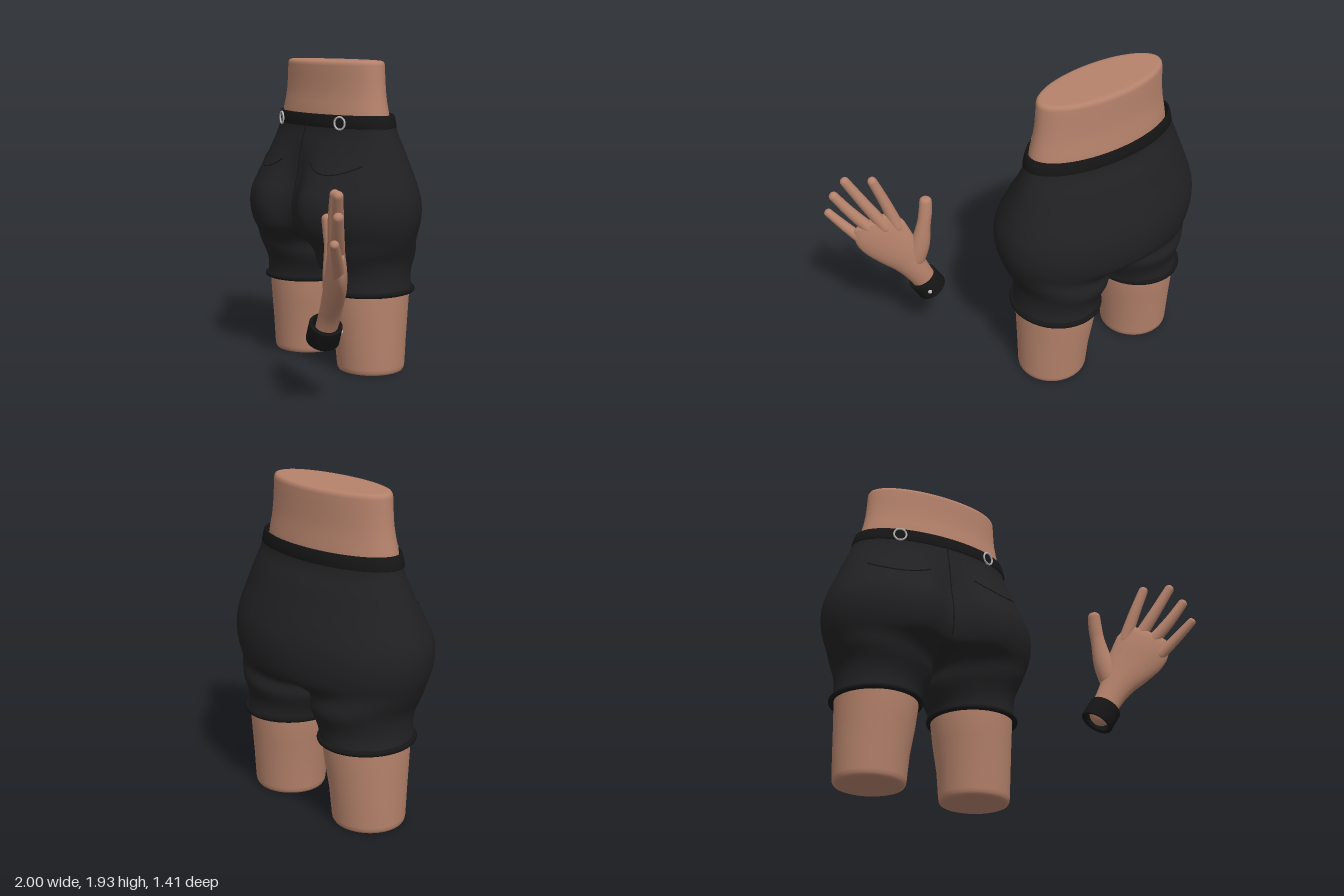
import * as THREE from 'three';
import { mergeVertices } from 'three/addons/utils/BufferGeometryUtils.js';

const CX = -0.31; // body centre line
const ZC = -0.3; // depth of the widest part of the hips
const V = (x, y, z) => new THREE.Vector3(x, y, z);
const mat = (color) => new THREE.MeshStandardMaterial({ color, side: THREE.DoubleSide });
const skin = mat(0xb5826b), cloth = mat(0x212123), trim = mat(0x161617), metal = mat(0xb8b8b8);
const { smoothstep, lerp } = THREE.MathUtils;

function add(parent, name, geometry, material) {
  const mesh = new THREE.Mesh(geometry, material);
  mesh.name = name;
  parent.add(mesh);
  return mesh;
}

// Smooth surface from a rule: i runs upwards, j runs around
function grid(fn, ni, nj, flip = false) {
  const pos = [], index = [];
  for (let i = 0; i <= ni; i++)
    for (let j = 0; j <= nj; j++) pos.push(...fn(i, j).toArray());
  for (let i = 0; i < ni; i++)
    for (let j = 0; j < nj; j++) {
      const a = i * (nj + 1) + j, b = a + 1, c = a + nj + 1, d = c + 1;
      if (flip) index.push(a, d, c, a, b, d);
      else index.push(a, c, d, a, d, b);
    }
  let g = new THREE.BufferGeometry();
  g.setAttribute('position', new THREE.Float32BufferAttribute(pos, 3));
  g.setIndex(index);
  g = mergeVertices(g, 1e-5);
  g.computeVertexNormals();
  return g;
}

// Stacked ellipses, each row [centre x, y, centre z, radius x, radius z]
function loft(rows, n = 64) {
  return grid((i, j) => {
    const [x, y, z, rx, rz] = rows[i], a = ((j % n) / n) * Math.PI * 2;
    return V(x + rx * Math.cos(a), y, z + rz * Math.sin(a));
  }, rows.length - 1, n);
}

// Round-ended limb through points [x, y, z, half width, half thickness]
function limb(points, across, ni = 36, n = 24) {
  const path = new THREE.CatmullRomCurve3(points.map((p) => V(p[0], p[1], p[2])));
  const size = new THREE.CatmullRomCurve3(points.map((p) => V(p[3], p[4], 0)), false, 'catmullrom');
  const length = path.getLength();
  return grid((i, j) => {
    const t = 0.5 - 0.5 * Math.cos((Math.PI * i) / ni);
    const c = path.getPoint(t), T = path.getTangent(t), r = size.getPoint(t);
    const k = Math.min(1, (Math.min(t, 1 - t) * length) / r.y);
    const cap = Math.sqrt(Math.max(0, 1 - (1 - k) ** 2));
    const S = across.clone().addScaledVector(T, -across.dot(T)).normalize();
    const B = S.clone().cross(T);
    const a = ((j % n) / n) * Math.PI * 2;
    return c.addScaledVector(S, Math.cos(a) * r.x * cap).addScaledVector(B, Math.sin(a) * r.y * cap);
  }, ni, n);
}

// Shorts outline every 0.1 from y = 0.5 up: half width, front z, back z
const outline = new THREE.CatmullRomCurve3([
  [0.585, -0.035, -0.585], [0.575, -0.03, -0.585], [0.585, 0.01, -0.62], [0.63, 0.08, -0.66],
  [0.67, 0.13, -0.695], [0.69, 0.148, -0.705], [0.685, 0.135, -0.695], [0.655, 0.09, -0.665],
  [0.615, 0.04, -0.625], [0.575, -0.01, -0.585], [0.535, -0.05, -0.535], [0.505, -0.06, -0.52],
].map((p) => V(...p)), false, 'catmullrom');

// Hip section with a cleft down the front; returns z for a distance u from the centre line
function frontZ(u, y) {
  const o = outline.getPoint((y - 0.5) / 1.1);
  const c = 1 - smoothstep(y, 1.05, 1.5);
  const depth = (o.y - ZC) * (1 + 0.09 * c);
  return ZC + depth * Math.sqrt(Math.max(0, 1 - (u / o.x) ** 2)) - 0.14 * c * Math.exp(-((u / 0.15) ** 2));
}

// Half of the shorts: an open half section above that closes into a leg below
function shortsHalf(side) {
  const ni = 66, nj = 64;
  return grid((i, j) => {
    const y = 0.5 + (1.1 * i) / ni;
    const o = outline.getPoint(i / ni);
    const t = -Math.PI / 2 + (Math.PI * j) / nj;
    const edge = j === 0 || j === nj;
    const u = edge ? 0 : o.x * Math.cos(t);
    const z = t > 0 ? frontZ(u, y) : ZC + (ZC - o.z) * Math.sin(t);
    const inner = 0.06 * (1 - smoothstep(y, 0.52, 0.7));
    const legU = (o.x + inner) / 2 + ((o.x - inner) / 2) * Math.cos(2 * t);
    const legZ = (o.y + o.z) / 2 + ((o.y - o.z) / 2) * Math.sin(2 * t);
    const s = 1 - smoothstep(y, 0.69, 0.88);
    return V(CX + side * lerp(u, legU, s), y, lerp(z, legZ, s));
  }, ni, nj, side < 0);
}

function buildBody() {
  const body = new THREE.Group();
  body.name = 'body';

  add(body, 'waist', loft([
    [CX, 1.42, -0.285, 0.49, 0.2], [CX, 1.55, -0.283, 0.495, 0.212], [CX, 1.62, -0.282, 0.482, 0.207],
    [CX, 1.68, -0.283, 0.468, 0.195], [CX, 1.75, -0.285, 0.456, 0.188], [CX, 1.83, -0.285, 0.449, 0.186],
    [CX, 1.9, -0.285, 0.445, 0.185], [CX, 1.915, -0.285, 0.442, 0.182], [CX, 1.926, -0.285, 0.434, 0.174],
    [CX, 1.93, -0.285, 0.42, 0.16], [CX, 1.93, -0.285, 0.4, 0.14], [CX, 1.93, -0.285, 0, 0],
  ]), skin);

  add(body, 'waistband', loft([
    [CX, 1.525, -0.291, 0.525, 0.236], [CX, 1.53, -0.291, 0.533, 0.243], [CX, 1.565, -0.291, 0.524, 0.24],
    [CX, 1.6, -0.291, 0.512, 0.236], [CX, 1.605, -0.291, 0.506, 0.231], [CX, 1.6, -0.291, 0.498, 0.222],
    [CX, 1.54, -0.291, 0.495, 0.218],
  ], 96), trim);

  for (const side of [1, -1]) {
    const label = side > 0 ? 'left' : 'right';
    add(body, label + 'ShortsHalf', shortsHalf(side), cloth);

    // Leg stump with rounded lower edge
    add(body, label + 'Leg', loft([
      [0.345, 0, 0, 0], [0.345, 0, 0.17, 0.165], [0.345, 0, 0.19, 0.185], [0.345, 0.005, 0.205, 0.2],
      [0.345, 0.018, 0.213, 0.208], [0.345, 0.04, 0.216, 0.212], [0.34, 0.2, 0.224, 0.225],
      [0.328, 0.36, 0.238, 0.245], [0.321, 0.5, 0.248, 0.26], [0.321, 0.6, 0.245, 0.26],
    ].map(([u, y, rx, rz]) => [CX + side * u, y, -0.31, rx, rz])), skin);

    // Rolled hem, a closed ring of small round section
    const hem = Array.from({ length: 13 }, (_, i) => {
      const a = -Math.PI / 2 + (i / 12) * Math.PI * 2;
      const r = 0.016 * Math.cos(a);
      return [CX + side * 0.325, 0.516 + 0.016 * Math.sin(a), -0.31, 0.262 + r, 0.276 + r];
    });
    add(body, label + 'Hem', loft(hem), trim);

    // Curved pocket seam lying on the cloth
    const seam = Array.from({ length: 13 }, (_, i) => {
      const k = i / 6 - 1, u = 0.33 + 0.18 * k, y = 1.25 + 0.06 * k * k;
      return V(CX + side * u, y, frontZ(u, y) + 0.001);
    });
    add(body, label + 'PocketSeam', new THREE.TubeGeometry(new THREE.CatmullRomCurve3(seam), 40, 0.004, 6), trim);

    const ring = add(body, label + 'BeltRing', new THREE.TorusGeometry(0.038, 0.006, 10, 36), metal);
    ring.position.set(CX + side * 0.31, 1.557, -0.088);
    ring.rotation.y = side * 0.33;
  }

  const middle = Array.from({ length: 12 }, (_, i) => V(CX, 0.9 + i * 0.057, frontZ(0, 0.9 + i * 0.057)));
  add(body, 'centreSeam', new THREE.TubeGeometry(new THREE.CatmullRomCurve3(middle), 40, 0.004, 6), trim);
  return body;
}

function buildHand() {
  const hand = new THREE.Group();
  hand.name = 'hand';
  const across = V(0.8, -0.45, 0.43).normalize();

  add(hand, 'palm', limb([
    [0.465, 0.37, 0.38, 0.075, 0.062], [0.545, 0.53, 0.39, 0.08, 0.062], [0.605, 0.64, 0.41, 0.1, 0.062],
    [0.67, 0.75, 0.44, 0.14, 0.06], [0.735, 0.86, 0.48, 0.165, 0.052], [0.765, 0.93, 0.5, 0.15, 0.042],
    [0.785, 0.98, 0.51, 0.12, 0.028],
  ], across, 48, 40), skin);

  add(hand, 'thumb', limb([
    [0.58, 0.6, 0.395, 0.055, 0.05], [0.54, 0.76, 0.37, 0.06, 0.052], [0.512, 0.92, 0.355, 0.043, 0.04],
    [0.497, 1.0, 0.355, 0.041, 0.038], [0.483, 1.105, 0.362, 0.036, 0.034],
  ], across), skin);

  // Each finger: base, middle, tip
  const fingers = {
    indexFinger: [[0.64, 0.88, 0.425], [0.7, 1.09, 0.475], [0.765, 1.28, 0.515]],
    middleFinger: [[0.70, 0.89, 0.45], [0.815, 1.11, 0.535], [0.905, 1.29, 0.6]],
    ringFinger: [[0.76, 0.87, 0.49], [0.88, 1.04, 0.58], [0.967, 1.185, 0.645]],
    littleFinger: [[0.81, 0.8, 0.52], [0.92, 0.945, 0.62], [0.99, 1.045, 0.69]],
  };
  for (const [name, points] of Object.entries(fingers)) {
    const k = name === 'littleFinger' ? 0.88 : 1;
    const radii = [0.041, 0.034, 0.028];
    add(hand, name, limb(points.map((p, i) => [...p, radii[i] * k, radii[i] * k]), across), skin);
  }

  // Wrist cuff with a stud at the back
  const cuff = new THREE.Group();
  cuff.name = 'wristCuff';
  const profile = [[0.078, -0.06], [0.09, -0.065], [0.097, -0.058], [0.096, 0.055], [0.09, 0.062], [0.07, 0.06], [0.07, -0.055], [0.078, -0.06]];
  add(cuff, 'cuffBand', new THREE.LatheGeometry(profile.map((p) => new THREE.Vector2(...p)), 48), trim);
  cuff.position.set(0.493, 0.43, 0.388);
  cuff.quaternion.setFromUnitVectors(V(0, 1, 0), V(0.48, 0.85, 0.15).normalize());
  const stud = add(cuff, 'cuffStud', new THREE.SphereGeometry(0.014, 16, 12), metal);
  stud.position.set(0.04, 0, -0.087);
  hand.add(cuff);
  return hand;
}

export function createModel() {
  const model = new THREE.Group();
  model.name = 'model';
  model.add(buildBody(), buildHand());
  return model;
}
